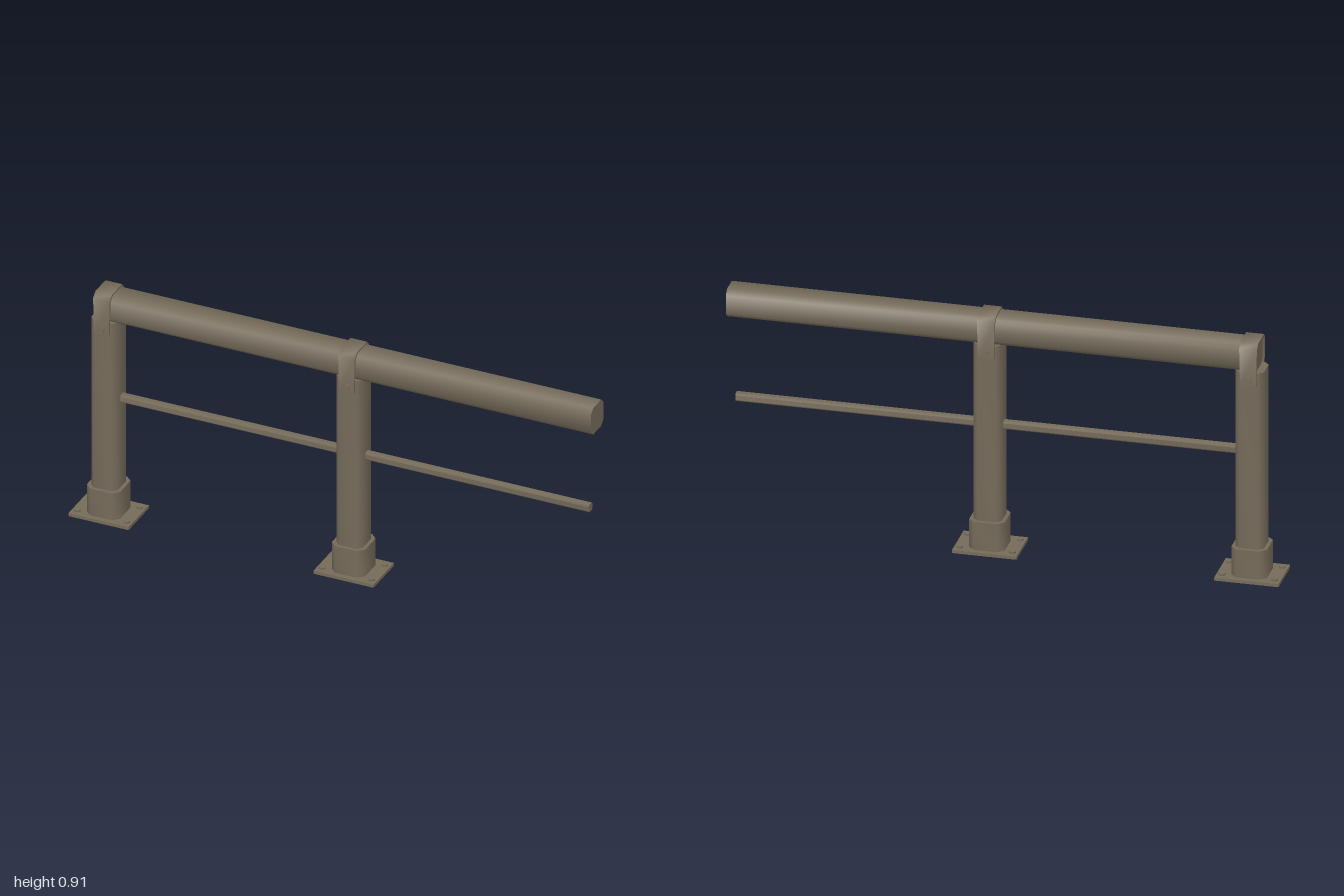
import * as THREE from 'three';
import { toCreasedNormals } from 'three/addons/utils/BufferGeometryUtils.js';

const CREASE = 0.9; // keeps caps sharp while chamfered corners shade smoothly

// Chamfered rectangular bar extruded along +z from 0
function bar(w, h, chamfer, length) {
  const a = w / 2, b = h / 2, c = chamfer;
  const shape = new THREE.Shape([
    [a - c, -b], [a, -b + c], [a, b - c], [a - c, b],
    [-a + c, b], [-a, b - c], [-a, -b + c], [-a + c, -b],
  ].map(([x, y]) => new THREE.Vector2(x, y)));
  const geo = new THREE.ExtrudeGeometry(shape, { depth: length, bevelEnabled: false });
  return toCreasedNormals(geo, CREASE);
}

// Bar standing upright from y0 to y1
const upright = (w, d, c, y0, y1) => bar(w, d, c, y1 - y0).rotateX(-Math.PI / 2).translate(0, y0, 0);

// Bar lying along x from x0 to x1
const beam = (d, h, c, x0, x1) => bar(d, h, c, x1 - x0).rotateY(Math.PI / 2).translate(x0, 0, 0);

// Inverted U strap folded over the rail, narrowing a little towards its feet
function strapGeometry() {
  const outer = [[0.06, 0.75], [0.06, 0.89], [0.042, 0.909]];
  const inner = [[0.036, 0.902], [0.053, 0.885], [0.053, 0.75]];
  const mirror = (pts) => pts.map(([z, y]) => [-z, y]).reverse();
  const pts = [...outer, ...mirror(outer), ...mirror(inner), ...inner];
  const shape = new THREE.Shape(pts.map(([z, y]) => new THREE.Vector2(z, y)));
  const geo = new THREE.ExtrudeGeometry(shape, { depth: 0.064, bevelEnabled: false });
  geo.translate(0, 0, -0.032).rotateY(Math.PI / 2);
  const p = geo.attributes.position;
  for (let i = 0; i < p.count; i++) {
    if (p.getY(i) < 0.8) p.setX(i, p.getX(i) * 0.9);
  }
  return toCreasedNormals(geo, CREASE);
}

export function createModel() {
  const root = new THREE.Group();
  root.name = 'guardRail';
  const metal = new THREE.MeshStandardMaterial({ color: 0x756b5a });
  metal.name = 'weatheredMetal';

  const add = (parent, name, geo, x = 0, y = 0, z = 0) => {
    const mesh = new THREE.Mesh(geo, metal);
    mesh.name = name;
    mesh.position.set(x, y, z);
    parent.add(mesh);
    return mesh;
  };

  // Geometries shared by both posts
  const post = upright(0.102, 0.104, 0.018, 0.01, 0.797);
  const sleeve = upright(0.128, 0.13, 0.022, 0.01, 0.12);
  const plate = new THREE.BoxGeometry(0.232, 0.012, 0.168);
  const anchor = new THREE.CylinderGeometry(0.012, 0.012, 0.008, 8);
  const strap = strapGeometry();
  const strapBolt = new THREE.CylinderGeometry(0.012, 0.012, 0.008, 8).rotateX(Math.PI / 2);

  for (const x of [-0.884, 0.061]) {
    const unit = new THREE.Group();
    unit.name = 'postAssembly';
    unit.position.x = x;
    root.add(unit);
    add(unit, 'basePlate', plate, 0, 0.006, 0);
    add(unit, 'sleeve', sleeve);
    add(unit, 'post', post);
    add(unit, 'strap', strap);
    for (const sz of [-1, 1]) {
      add(unit, 'strapBolt', strapBolt, 0, 0.771, sz * 0.063);
      for (const sx of [-1, 1]) add(unit, 'anchorBolt', anchor, sx * 0.095, 0.015, sz * 0.055);
    }
  }

  // Heavy top rail and slim lower rail
  add(root, 'topRail', beam(0.106, 0.106, 0.019, -0.908, 1), 0, 0.85, 0);
  add(root, 'lowerRail', beam(0.031, 0.031, 0.007, -0.86, 0.975), 0, 0.478, 0);

  return root;
}
